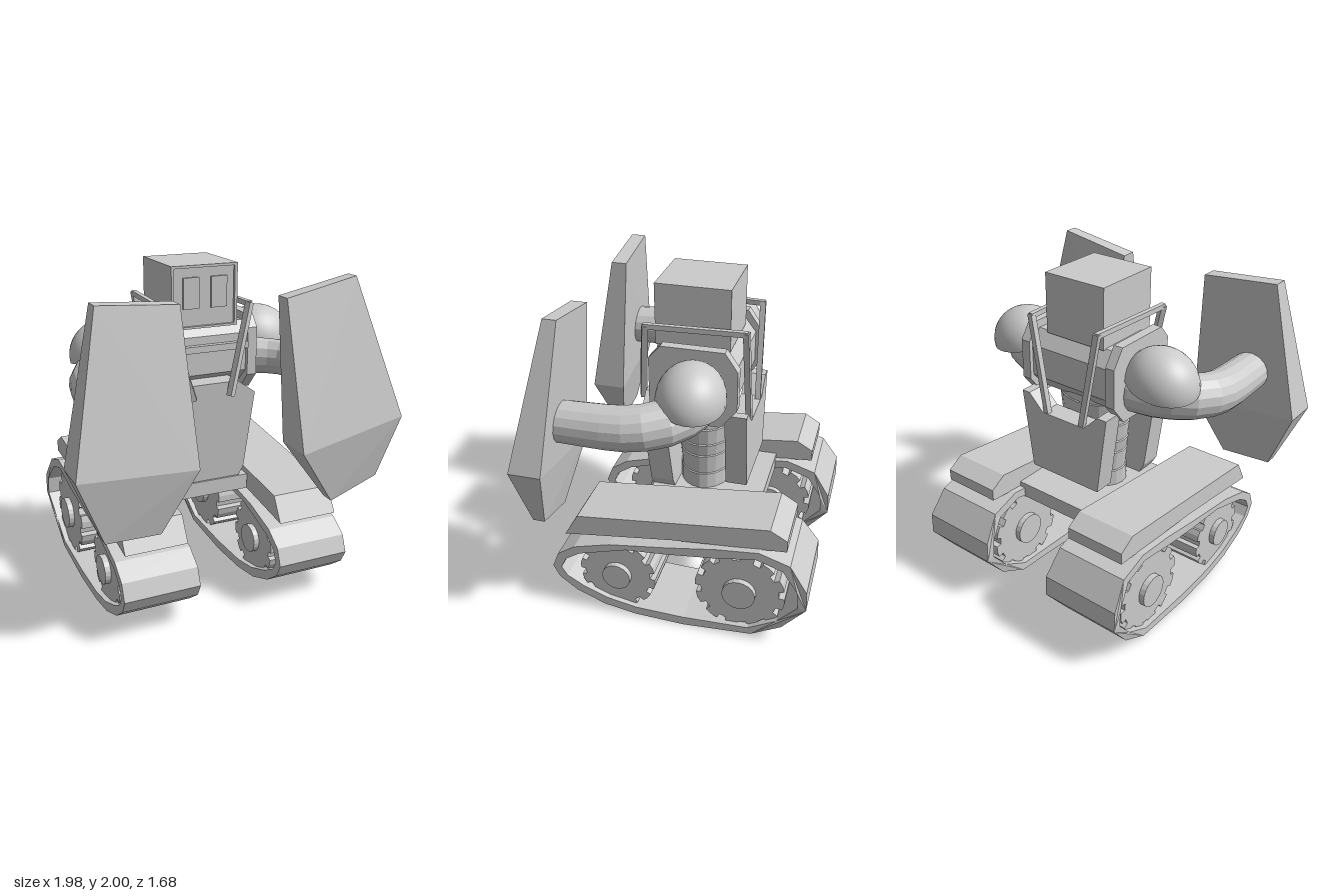
import * as THREE from 'three';
import { ConvexGeometry } from 'three/addons/geometries/ConvexGeometry.js';

const flat = new THREE.MeshStandardMaterial({ color: 0xcccccc, flatShading: true });
const smooth = new THREE.MeshStandardMaterial({ color: 0xcccccc, side: THREE.DoubleSide });

function add(parent, name, geometry, x = 0, y = 0, z = 0, material = flat) {
  const mesh = new THREE.Mesh(geometry, material);
  mesh.name = name;
  mesh.position.set(x, y, z);
  parent.add(mesh);
  return mesh;
}

const toPoints = (pts) => pts.map(([a, b]) => new THREE.Vector2(a, b));

// Box given by its limits on each axis
function box(parent, name, [x0, x1], [y0, y1], [z0, z1]) {
  return add(parent, name, new THREE.BoxGeometry(x1 - x0, y1 - y0, z1 - z0),
    (x0 + x1) / 2, (y0 + y1) / 2, (z0 + z1) / 2);
}

// Side profile in (z, y), extruded across x and centred on x = 0
function sideExtrude(profile, width, hole) {
  const shape = new THREE.Shape(toPoints(profile));
  if (hole) shape.holes.push(new THREE.Path(toPoints(hole)));
  const g = new THREE.ExtrudeGeometry(shape, { depth: width, bevelEnabled: false });
  return g.translate(0, 0, -width / 2).rotateY(-Math.PI / 2);
}

// Front profile in (x, y), extruded from z0 to z1
function frontExtrude(profile, z0, z1) {
  return new THREE.ExtrudeGeometry(new THREE.Shape(toPoints(profile)),
    { depth: z1 - z0, bevelEnabled: false }).translate(0, 0, z0);
}

// Change each vertex of a geometry by a rule
function reshape(g, rule) {
  const p = g.attributes.position, v = new THREE.Vector3();
  for (let i = 0; i < p.count; i++) {
    rule(v.fromBufferAttribute(p, i), i);
    p.setXYZ(i, v.x, v.y, v.z);
  }
  g.computeVertexNormals();
  return g;
}

// Straight square bar between two points
function bar(parent, name, a, b, size) {
  const from = new THREE.Vector3(...a), to = new THREE.Vector3(...b);
  const mesh = add(parent, name, new THREE.BoxGeometry(size, size, from.distanceTo(to) + size * 0.6));
  mesh.position.copy(from).lerp(to, 0.5);
  mesh.lookAt(to);
}

// Toothed wheel outline with narrow notches
function wheelProfile(cz, cy, r, teeth) {
  const pts = [];
  for (let i = 0; i < teeth; i++) {
    for (const [t, k] of [[0, 1], [0.3, 1.01], [0.6, 1], [0.62, 0.87], [0.98, 0.87]]) {
      const a = ((i + t) / teeth) * Math.PI * 2;
      pts.push([cz + Math.cos(a) * r * k, cy + Math.sin(a) * r * k]);
    }
  }
  return pts;
}

function buildTrack(side) {
  const track = new THREE.Group();
  track.name = side > 0 ? 'leftTrack' : 'rightTrack';
  const outer = [[0.73, 0.29], [0.69, 0.39], [0.58, 0.465], [0.35, 0.53], [0, 0.58], [-0.3, 0.63],
    [-0.55, 0.655], [-0.73, 0.595], [-0.835, 0.44], [-0.84, 0.31], [-0.7, 0.13], [-0.52, 0.03],
    [-0.1, 0.002], [0.2, 0.015], [0.4, 0.05], [0.58, 0.125], [0.69, 0.21]];
  const inner = [[0.675, 0.29], [0.64, 0.36], [0.55, 0.42], [0.25, 0.51], [0, 0.53], [-0.3, 0.565],
    [-0.53, 0.605], [-0.69, 0.55], [-0.78, 0.43], [-0.79, 0.32], [-0.67, 0.17], [-0.5, 0.075],
    [-0.1, 0.06], [0.2, 0.07], [0.38, 0.105], [0.54, 0.17], [0.64, 0.23]];
  // Tread flares slightly at the back end
  add(track, 'tread', reshape(sideExtrude(outer, 0.455, inner), (v) => {
    if (v.z < -0.75) v.x *= 1.09;
  }));
  for (const [z, y, r, hub, label] of [[0.32, 0.285, 0.238, 0.088, 'front'], [-0.437, 0.315, 0.27, 0.1, 'rear']]) {
    add(track, label + 'Wheel', sideExtrude(wheelProfile(z, y, r, 12), 0.39));
    add(track, label + 'Hub', new THREE.CylinderGeometry(hub, hub, 0.46, 20).rotateZ(Math.PI / 2), 0, y, z);
  }
  add(track, 'fender', sideExtrude([[0.645, 0.525], [0.56, 0.67], [-0.6, 0.795], [-0.7, 0.735],
    [-0.7, 0.663], [-0.02, 0.61]], 0.375));
  track.position.x = side * 0.485 - 0.013;
  return track;
}

function buildArm(side) {
  const arm = new THREE.Group();
  arm.name = side > 0 ? 'leftArm' : 'rightArm';
  // Bent, tapering limb
  const curve = new THREE.CatmullRomCurve3([[0.25, 1.38, -0.1], [0.46, 1.38, -0.08], [0.63, 1.37, 0.03],
    [0.688, 1.35, 0.2], [0.688, 1.34, 0.4], [0.682, 1.335, 0.62]].map(([x, y, z]) => new THREE.Vector3(side * x, y, z)));
  const rings = 10, sides = 16;
  const limb = reshape(new THREE.TubeGeometry(curve, rings, 1, sides), (v, i) => {
    const t = Math.floor(i / (sides + 1)) / rings;
    const centre = curve.getPointAt(t);
    v.sub(centre).multiplyScalar(0.142 - 0.022 * t).add(centre);
  });
  add(arm, 'limb', limb);
  // Hollow shoulder dome, drooping outward
  const dome = add(arm, 'shoulderDome',
    new THREE.SphereGeometry(1, 28, 10, 0, Math.PI * 2, 0, Math.PI / 2).scale(0.225, 0.21, 0.197),
    side * 0.5 - 0.005, 1.47, -0.1, smooth);
  dome.rotation.set(-0.12, side * 0.12, -side * 0.18);
  return arm;
}

// Hexagonal shield: front corners x, y, z with the back corner depth as fourth value
function shield(parent, name, corners) {
  const pts = corners.flatMap(([x, y, front, back]) =>
    [new THREE.Vector3(x, y, front), new THREE.Vector3(x, y, back)]);
  add(parent, name, new ConvexGeometry(pts));
}

export function createModel() {
  const model = new THREE.Group();
  model.name = 'trackedRobot';

  for (const side of [1, -1]) model.add(buildTrack(side), buildArm(side));
  box(model, 'crossBeam', [-0.31, 0.28], [0.585, 0.68], [-0.465, 0.22]);

  shield(model, 'leftShield', [[0.262, 1.87, 0.66, 0.565], [0.72, 1.955, 0.625, 0.545], [0.985, 1.145, 0.79, 0.6],
    [0.875, 0.77, 0.73, 0.66], [0.55, 0.675, 0.76, 0.68], [0.3, 1.03, 0.84, 0.61]]);
  shield(model, 'rightShield', [[-0.81, 1.92, 0.66, 0.57], [-0.35, 1.885, 0.64, 0.545], [-0.305, 1.03, 0.795, 0.59],
    [-0.505, 0.665, 0.73, 0.67], [-0.83, 0.685, 0.755, 0.68], [-0.99, 1.08, 0.825, 0.61]]);

  // Banded waist
  const bands = [[0, 0.67], [0.16, 0.67]];
  for (const [y, r] of [[0.78, 0.16], [0.91, 0.165], [0.99, 0.17], [1.1, 0.175], [1.25, 0.18]]) {
    bands.push([r, y], [r - 0.006, y + 0.004]);
  }
  bands.push([0.175, 1.4]);
  add(model, 'waist', new THREE.LatheGeometry(toPoints(bands), 20).scale(1.3, 1, 1), -0.01, 0, -0.07);

  // Upper torso: core between two octagonal shoulder plates
  const octagon = [[0.19, 1.61], [0.12, 1.69], [-0.25, 1.69], [-0.325, 1.58], [-0.325, 1.34],
    [-0.23, 1.22], [0.1, 1.22], [0.19, 1.32]];
  const core = octagon.map(([z, y]) => [-0.07 + (z + 0.07) * 0.9, 1.45 + (y - 1.45) * 0.8]);
  add(model, 'chestCore', sideExtrude(core, 0.6));
  for (const side of [1, -1]) {
    add(model, 'shoulderPlate', sideExtrude(octagon, 0.06), side * 0.31);
  }
  box(model, 'collar', [-0.28, 0.28], [1.49, 1.53], [-0.2, 0.2]);

  // Front plate leans forward toward its top
  const plate = frontExtrude([[-0.24, 0.685], [0.22, 0.685], [0.25, 0.74], [0.3, 1.23], [0.18, 1.315],
    [-0.19, 1.315], [-0.315, 1.22], [-0.27, 0.74]], 0.08, 0.22);
  add(model, 'frontPlate', reshape(plate, (v) => { v.z += (v.y - 0.7) * 0.07; }));

  // Back plate with a notched top
  add(model, 'backPlate', frontExtrude([[-0.26, 0.78], [0.24, 0.78], [0.305, 1.28], [0.25, 1.28],
    [0.15, 1.18], [-0.16, 1.18], [-0.26, 1.28], [-0.325, 1.28]], -0.375, -0.245));

  // Head with a framed face and two eye panels
  box(model, 'head', [-0.21, 0.205], [1.635, 2], [-0.25, 0.17]);
  const rim = new THREE.Shape(toPoints([[-0.21, 1.635], [0.205, 1.635], [0.205, 2], [-0.21, 2]]));
  rim.holes.push(new THREE.Path(toPoints([[-0.193, 1.648], [0.188, 1.648], [0.188, 1.985], [-0.193, 1.985]])));
  add(model, 'faceFrame', new THREE.ExtrudeGeometry(rim, { depth: 0.018, bevelEnabled: false }), 0, 0, 0.17);
  for (const x of [-0.085, 0.09]) box(model, 'eye', [x - 0.05, x + 0.05], [1.75, 1.93], [0.17, 0.185]);

  // Harness bars over each shoulder
  for (const side of [1, -1]) {
    const at = (x, y, z) => [side * x - 0.003, y, z];
    bar(model, 'frontHarnessBar', at(0.265, 1.76, 0.23), at(0.12, 1.25, 0.3), 0.036);
    bar(model, 'topHarnessBar', at(0.265, 1.765, 0.23), at(0.235, 1.765, -0.345), 0.03);
    bar(model, 'rearHarnessBar', at(0.235, 1.765, -0.345), at(0.13, 1.18, -0.355), 0.034);
  }
  return model;
}
